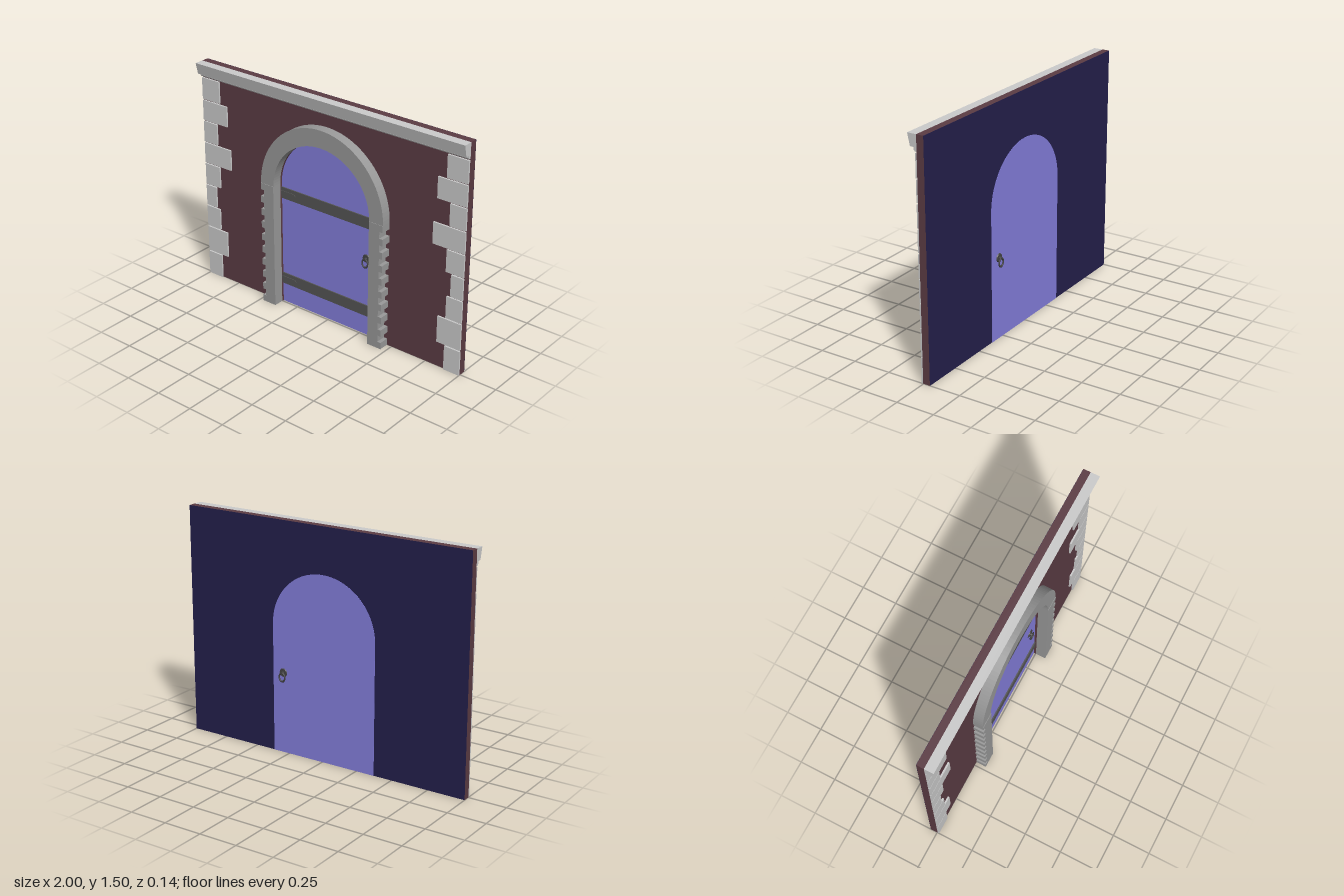
import * as THREE from 'three';

const mat = (color) => new THREE.MeshStandardMaterial({ color });
const MAROON = mat(0x5c3c44), NAVY = mat(0x241f4c), BLUE = mat(0x847edc);
const PALE = mat(0xcccccc), STONE = mat(0x999999), IRON = mat(0x555555), DARK = mat(0x444444);

const CX = -0.005;      // centre line of the doorway
const SPRING = 0.84;    // height where the arch begins
const IN_W = 0.37, IN_H = 0.363, OUT_W = 0.471, OUT_H = 0.477;
const FRONT = 0.003, BACK = -0.045;

export function createModel() {
  const model = new THREE.Group();

  function add(name, geometry, material, x = 0, y = 0, z = 0, parent = model) {
    const mesh = new THREE.Mesh(geometry, material);
    mesh.name = name;
    mesh.position.set(x, y, z);
    parent.add(mesh);
    return mesh;
  }
  // box given by its limits
  function block(name, material, x0, x1, y0, y1, z0, z1, parent = model) {
    return add(name, new THREE.BoxGeometry(x1 - x0, y1 - y0, z1 - z0), material,
      (x0 + x1) / 2, (y0 + y1) / 2, (z0 + z1) / 2, parent);
  }
  function slab(name, shape, material, z0, z1) {
    const g = new THREE.ExtrudeGeometry(shape, { depth: z1 - z0, bevelEnabled: false, curveSegments: 28 });
    return add(name, g, material, 0, 0, z0);
  }

  // wall with an arched doorway cut through to the floor
  const wallShape = new THREE.Shape();
  wallShape.moveTo(-1, 0).lineTo(CX - IN_W, 0).lineTo(CX - IN_W, SPRING);
  wallShape.absellipse(CX, SPRING, IN_W, IN_H, Math.PI, 0, true);
  wallShape.lineTo(CX + IN_W, 0).lineTo(1, 0).lineTo(1, 1.5).lineTo(-1, 1.5).closePath();
  slab('wall', wallShape, MAROON, BACK + 0.001, FRONT);
  slab('wallBack', wallShape, NAVY, BACK, BACK + 0.001);

  // arched door leaf
  const doorShape = new THREE.Shape();
  doorShape.moveTo(CX - IN_W, 0).lineTo(CX + IN_W, 0).lineTo(CX + IN_W, SPRING);
  doorShape.absellipse(CX, SPRING, IN_W, IN_H, 0, Math.PI, false);
  doorShape.closePath();
  slab('door', doorShape, BLUE, -0.047, -0.012);

  // iron bands with a round-ended hinge strap
  for (const y of [0.135, 0.74]) {
    block('doorBand', IRON, CX - IN_W, CX + IN_W, y, y + 0.075, -0.013, -0.004);
    const strap = new THREE.Shape();
    const x0 = CX - IN_W, x1 = x0 + 0.1, yc = y + 0.0375, r = 0.015;
    strap.moveTo(x0, yc - r).lineTo(x1, yc - r);
    strap.absarc(x1, yc, r, -Math.PI / 2, Math.PI / 2, false);
    strap.lineTo(x0, yc + r).closePath();
    slab('hingeStrap', strap, IRON, -0.005, 0);
  }

  // ring handle on each face of the door
  for (const [side, z] of [[1, -0.012], [-1, -0.047]]) {
    const handle = new THREE.Group();
    handle.name = side > 0 ? 'frontHandle' : 'backHandle';
    handle.position.set(0.289, 0.532, z);
    if (side < 0) handle.rotation.y = Math.PI;
    const plate = new THREE.CylinderGeometry(0.025, 0.028, 0.006, 20).rotateX(Math.PI / 2);
    add('handlePlate', plate, DARK, 0, 0, 0.003, handle);
    const post = new THREE.CylinderGeometry(0.008, 0.01, 0.016, 12).rotateX(Math.PI / 2);
    add('handlePost', post, DARK, 0, 0, 0.012, handle);
    const ring = add('handleRing', new THREE.TorusGeometry(0.021, 0.005, 8, 24), DARK, 0, -0.027, 0.016, handle);
    ring.scale.y = 1.3;
    model.add(handle);
  }

  // stone arch over the door
  const arch = new THREE.Shape();
  arch.moveTo(CX + OUT_W, SPRING);
  arch.absellipse(CX, SPRING, OUT_W, OUT_H, 0, Math.PI, false);
  arch.lineTo(CX - IN_W, SPRING);
  arch.absellipse(CX, SPRING, IN_W, IN_H, Math.PI, 0, true);
  arch.closePath();
  slab('stoneArch', arch, STONE, FRONT, 0.068);

  // door jambs: alternating wide and narrow courses
  const courses = 19, step = SPRING / courses;
  for (const side of [-1, 1]) {
    const jamb = new THREE.Group();
    jamb.name = side < 0 ? 'rightJamb' : 'leftJamb';
    for (let i = 0; i < courses; i++) {
      const outer = CX + side * (i % 2 ? 0.447 : OUT_W), inner = CX + side * IN_W;
      block('jambStone', STONE, Math.min(inner, outer), Math.max(inner, outer),
        i * step, (i + 1) * step, FRONT, 0.071, jamb);
    }
    model.add(jamb);
  }

  // corner stones: bottom edge heights and inner edge positions, from the floor up
  const edges = [0, 0.171, 0.355, 0.508, 0.658, 0.81, 0.957, 1.105, 1.248, 1.4];
  const reach = [0.888, 0.832, 0.888, 0.914, 0.877, 0.778, 0.888, 0.799, 0.858];
  for (const side of [-1, 1]) {
    const quoins = new THREE.Group();
    quoins.name = side < 0 ? 'rightCornerStones' : 'leftCornerStones';
    reach.forEach((r, i) => {
      const a = side * r, b = side * 0.999;
      block('cornerStone', PALE, Math.min(a, b), Math.max(a, b),
        edges[i], edges[i + 1] - 0.008, FRONT, 0.014, quoins);
    });
    model.add(quoins);
  }

  // cornice: moulded profile (z, y) run along the wall
  const profile = new THREE.Shape([
    [FRONT, 1.4], [0.014, 1.4], [0.022, 1.41], [0.022, 1.425], [0.046, 1.425], [0.063, 1.5], [FRONT, 1.5],
  ].map(([z, y]) => new THREE.Vector2(-z, y)));
  const cornice = new THREE.ExtrudeGeometry(profile, { depth: 2, bevelEnabled: false });
  cornice.rotateY(Math.PI / 2);
  add('cornice', cornice, PALE, -1, 0, 0);

  return model;
}
